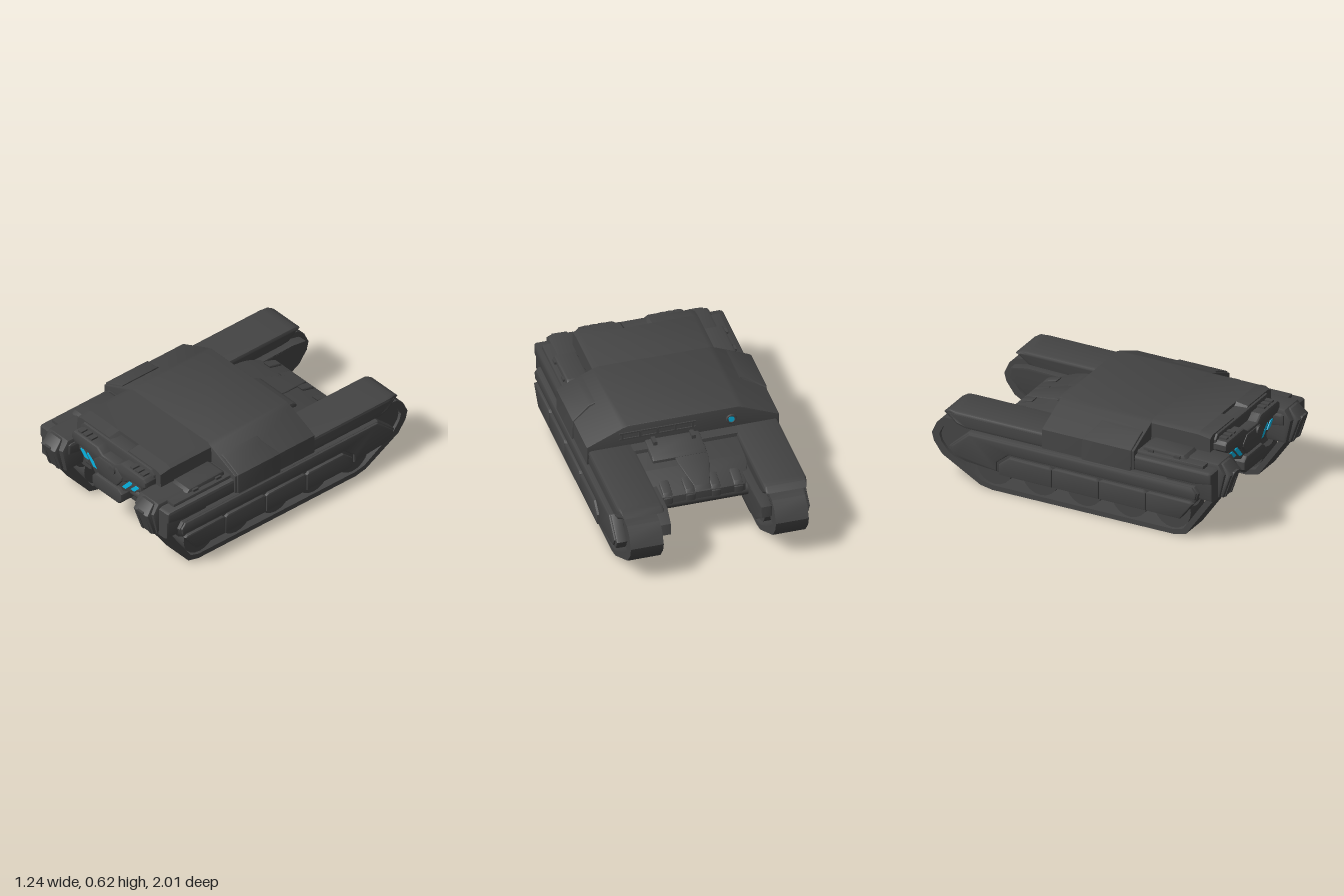
import * as THREE from 'three';
import { toCreasedNormals } from 'three/addons/utils/BufferGeometryUtils.js';

export function createModel() {
  const model = new THREE.Group();
  model.name = 'trackedVehicle';
  const armour = new THREE.MeshStandardMaterial({ color: 0x444444 });
  armour.name = 'dark grey armour';
  const glow = new THREE.MeshStandardMaterial({ color: 0x06b4e2 });
  glow.name = 'cyan light';

  const add = (name, geo, mat = armour) => {
    const mesh = new THREE.Mesh(geo, mat);
    mesh.name = name;
    model.add(mesh);
    return mesh;
  };
  const toShape = (pts) => new THREE.Shape(pts.map((p) => new THREE.Vector2(p[0], p[1])));
  const extrude = (pts, width, bevel, hole) => {
    const shape = toShape(pts);
    if (hole) shape.holes.push(toShape(hole));
    const geo = new THREE.ExtrudeGeometry(shape, {
      depth: width - 2 * bevel, bevelEnabled: bevel > 0, bevelSize: bevel,
      bevelThickness: bevel, bevelOffset: -bevel, bevelSegments: 2,
    });
    return geo.translate(0, 0, bevel);
  };
  // Moves vertices by a rule, then smooths only the soft edges
  const finish = (geo, warp) => {
    if (warp) {
      const p = geo.attributes.position, v = new THREE.Vector3();
      for (let i = 0; i < p.count; i++) {
        v.fromBufferAttribute(p, i);
        warp(v);
        p.setXYZ(i, v.x, v.y, v.z);
      }
      geo.computeVertexNormals();
    }
    return toCreasedNormals(geo, 0.6);
  };
  // Side profile [z, y] spanning x0..x1
  const slab = (name, pts, x0, x1, bevel = 0.015, warp, hole) =>
    add(name, finish(extrude(pts, x1 - x0, bevel, hole).rotateY(-Math.PI / 2).translate(x1, 0, 0), warp));
  // Front profile [x, y] spanning z0..z1
  const front = (name, pts, z0, z1, bevel = 0.012, mat = armour, warp) =>
    add(name, finish(extrude(pts, z1 - z0, bevel).translate(0, 0, z0), warp), mat);
  // Completes a symmetrical front profile from its +x half
  const both = (half) => [...half, ...half.map(([x, y]) => [-x, y]).reverse()];
  const box = (name, w, h, d, x, y, z) => {
    const m = add(name, new THREE.BoxGeometry(w, h, d));
    m.position.set(x, y, z);
    return m;
  };
  const drum = (name, r, w, x, y, z, sides = 20) => {
    const m = add(name, new THREE.CylinderGeometry(r, r, w, sides).rotateZ(Math.PI / 2));
    m.position.set(x, y, z);
    return m;
  };

  // Upper deck
  front('deck', both([[0.345, 0.62], [0.38, 0.608], [0.6, 0.51], [0.6, 0.385], [0.33, 0.385]]), -0.23, 0.4, 0.006);
  front('frontDeck', both([[0.345, 0.62], [0.38, 0.605], [0.385, 0.46], [0.33, 0.44]]), 0.39, 0.72, 0);
  front('notchedDeckEdge', both([[0.05, 0.58], [0.09, 0.62], [0.345, 0.62], [0.38, 0.605], [0.385, 0.46], [0.33, 0.44]]),
    0.72, 0.8, 0, armour, (v) => { if (v.z > 0.79 && v.y > 0.6) v.y -= 0.012; });

  // Hull between the tracks
  front('hull', both([[0.36, 0.48], [0.36, 0.33], [0.25, 0.26]]), -0.3, 0.76, 0.01);
  slab('rearDeck', [[-0.2, 0.47], [-0.45, 0.43], [-0.66, 0.37], [-0.66, 0.31], [-0.58, 0.26], [-0.2, 0.26]],
    -0.34, 0.34, 0.01, (v) => { if (v.z < -0.55) v.x *= 0.78; });
  box('bellyPlate', 0.16, 0.01, 0.3, 0, 0.259, 0.25);

  // Rear deck ridge, hatch and grille
  slab('rearRidge', [[-0.22, 0.48], [-0.44, 0.448], [-0.63, 0.398], [-0.66, 0.36], [-0.22, 0.4]], -0.1, 0.1, 0.008,
    (v) => { if (v.z < -0.5) v.x *= 0.5; });
  slab('hatch', [[-0.22, 0.495], [-0.37, 0.475], [-0.4, 0.455], [-0.4, 0.42], [-0.22, 0.42]], -0.1, 0.24, 0.012);
  for (const x of [-0.05, 0.19]) box('hatchHinge', 0.025, 0.04, 0.06, x, 0.49, -0.26);
  for (const y of [0.57, 0.53]) box('grilleRail', 0.48, 0.01, 0.01, 0.16, y, -0.232);
  for (let i = 0; i < 5; i++) box('grilleBar', 0.014, 0.04, 0.012, -0.06 + i * 0.11, 0.55, -0.232);
  const ring = add('rearLampRing', new THREE.TorusGeometry(0.026, 0.008, 8, 20));
  ring.position.set(-0.3, 0.54, -0.232);
  const lamp = add('rearLamp', new THREE.CylinderGeometry(0.019, 0.019, 0.009, 20).rotateX(Math.PI / 2), glow);
  lamp.position.set(-0.3, 0.54, -0.234);
  for (const x of [-0.22, -0.08, 0.08, 0.22]) {
    slab('rearTooth', [[-0.55, 0.415], [-0.64, 0.39], [-0.665, 0.36], [-0.665, 0.32], [-0.6, 0.32]], x - 0.03, x + 0.03, 0.008);
  }
  drum('rearAxle', 0.042, 0.56, 0, 0.31, -0.62);

  // Front face
  front('facePlate', both([[0.31, 0.6], [0.335, 0.57], [0.335, 0.48], [0.24, 0.36]]), 0.7, 0.815, 0.01);
  front('brow', both([[0.06, 0.53], [0.11, 0.565], [0.32, 0.565], [0.338, 0.545], [0.338, 0.51], [0.31, 0.485],
    [0.2, 0.485], [0.14, 0.44]]), 0.78, 0.885, 0.014);
  front('snout', both([[0.11, 0.52], [0.19, 0.485], [0.28, 0.478], [0.285, 0.45], [0.22, 0.405], [0.15, 0.375], [0.1, 0.355]]),
    0.78, 0.87, 0.006);
  front('centrePanel', both([[0.08, 0.515], [0.13, 0.47], [0.13, 0.45], [0.08, 0.385]]), 0.84, 0.892, 0.01);
  front('chin', both([[0.1, 0.378], [0.135, 0.35], [0.135, 0.3], [0.11, 0.272]]), 0.76, 0.9, 0.015);
  front('lowerFront', both([[0.25, 0.365], [0.26, 0.31], [0.22, 0.262]]), 0.7, 0.8, 0.01);
  drum('frontAxle', 0.03, 0.54, 0, 0.345, 0.8);
  const sensor = add('sensor', new THREE.CylinderGeometry(0.027, 0.027, 0.03, 20).rotateX(Math.PI / 2));
  sensor.position.set(0.05, 0.49, 0.89);

  for (const s of [1, -1]) {
    const side = (name, pts, a, b, bevel, warp, hole) =>
      slab(name, pts, s > 0 ? a : -b, s > 0 ? b : -a, bevel, warp, hole);
    const face = (name, pts, ...rest) => front(name, pts.map(([x, y]) => [s * x, y]), ...rest);

    // Slanted eye lights and brow studs
    face('innerEye', [[0.115, 0.395], [0.148, 0.395], [0.204, 0.457], [0.204, 0.466], [0.177, 0.466]], 0.868, 0.876, 0, glow);
    face('outerEye', [[0.192, 0.42], [0.226, 0.42], [0.265, 0.459], [0.265, 0.466], [0.236, 0.466]], 0.868, 0.876, 0, glow);
    for (let i = 0; i < 3; i++) box('browStud', 0.03, 0.018, 0.06, s * (0.19 + i * 0.047), 0.567, 0.835);

    // Track belt, a closed loop with a hollow centre
    side('trackBelt', [[0.92, 0.29], [0.73, 0.02], [0.65, 0], [-0.59, 0], [-0.67, 0.015], [-0.93, 0.16], [-0.985, 0.235],
      [-1, 0.29], [-0.965, 0.365], [-0.915, 0.405], [-0.82, 0.412], [0.85, 0.4]], 0.35, 0.555, 0, null,
      [[0.82, 0.37], [-0.82, 0.38], [-0.89, 0.37], [-0.925, 0.34], [-0.95, 0.29], [-0.935, 0.245], [-0.89, 0.188],
        [-0.66, 0.046], [-0.59, 0.032], [0.65, 0.032], [0.71, 0.05], [0.875, 0.29]]);

    // Road wheels and end wheels
    for (const z of [0.63, 0.34, 0.03, -0.27, -0.58]) {
      drum('roadWheel', 0.125, 0.17, s * 0.455, 0.16, z);
      drum('wheelHub', 0.05, 0.2, s * 0.455, 0.16, z, 12);
    }
    drum('driveWheel', 0.105, 0.16, s * 0.455, 0.285, -0.84);
    drum('idlerWheel', 0.08, 0.16, s * 0.455, 0.28, 0.74);
    side('suspensionCore', [[0.78, 0.37], [-0.78, 0.37], [-0.8, 0.25], [-0.7, 0.16], [0.7, 0.16], [0.78, 0.26]], 0.37, 0.54, 0);

    // Outer skirts
    side('upperSkirt', [[0.84, 0.33], [0.81, 0.37], [-0.73, 0.37], [-0.86, 0.25], [-0.83, 0.19], [-0.75, 0.17], [-0.5, 0.15],
      [0.7, 0.15], [0.82, 0.27]], 0.53, 0.602, 0.012);
    side('skirtRail', [[0.83, 0.33], [0.8, 0.365], [-0.72, 0.365], [-0.84, 0.255], [-0.81, 0.2], [-0.75, 0.185], [-0.53, 0.16],
      [-0.53, 0.22], [-0.45, 0.285], [0.82, 0.285]], 0.56, 0.613, 0.012);
    const seams = [0.81, 0.49, 0.17, -0.15, -0.51];
    for (let i = 0; i < 4; i++) {
      const a = seams[i], b = seams[i + 1];
      side('lowerSkirtPanel', [[a, 0.262], [a - 0.02, 0.275], [b + (i === 3 ? 0.07 : 0.02), 0.275], [b, i === 3 ? 0.215 : 0.262],
        [b, 0.145], [i ? a : 0.72, 0.145]], 0.55, 0.622, 0.01);
    }

    // Inner side pod, narrowing toward its foot
    side('innerPod', [[0.8, 0.37], [-0.8, 0.4], [-0.92, 0.37], [-0.93, 0.3], [-0.8, 0.2], [-0.62, 0.125], [0.62, 0.125],
      [0.8, 0.27]], 0.25, 0.352, 0.015, (v) => {
      const limit = 0.25 + Math.max(0, 0.24 - v.y) * 0.42 + Math.max(0, -v.z - 0.65) * 0.12;
      v.x = Math.sign(v.x) * Math.max(Math.abs(v.x), limit);
    });

    // Fender with tapered tail
    side('fender', [[0.92, 0.47], [0.9, 0.48], [-0.82, 0.482], [-0.87, 0.48], [-0.91, 0.455], [-0.88, 0.44], [-0.82, 0.395],
      [-0.76, 0.38], [0.8, 0.38], [0.92, 0.4]], 0.315, 0.59, 0.018, (v) => {
      const limit = 0.6 + Math.min(0, v.z + 0.8) * 0.3;
      v.x = Math.sign(v.x) * Math.min(Math.abs(v.x), limit);
    });
    side('fenderSpine', [[0.85, 0.5], [0.4, 0.5], [0.38, 0.46], [0.85, 0.46]], 0.36, 0.56, 0.012);

    // Front nose guards
    side('noseGuard', [[0.92, 0.505], [0.6, 0.505], [0.6, 0.38], [0.8, 0.28], [0.93, 0.28], [0.965, 0.44]], 0.325, 0.505, 0.02);
    side('noseArch', [[0.94, 0.5], [0.85, 0.5], [0.85, 0.28], [0.945, 0.28], [1, 0.44]], 0.355, 0.49, 0.015,
      (v) => { if (v.y > 0.47) v.x = s * (0.42 + (Math.abs(v.x) - 0.42) * 0.8); });
    face('noseArchRim', [[0.38, 0.28], [0.38, 0.42], [0.4, 0.45], [0.45, 0.45], [0.47, 0.42], [0.47, 0.28], [0.45, 0.28],
      [0.45, 0.4], [0.4, 0.4], [0.4, 0.28]], 0.93, 0.95, 0, armour, (v) => { v.z += (v.y - 0.28) * 0.33; });
    side('noseCheek', [[0.92, 0.44], [0.88, 0.475], [0.6, 0.475], [0.6, 0.36], [0.84, 0.28], [0.92, 0.28]], 0.48, 0.578, 0.018);

    // Shoulder pod over the deck slope and the low stowage box ahead of it
    face('shoulderPod', [[0.45, 0.585], [0.49, 0.573], [0.607, 0.515], [0.61, 0.38], [0.45, 0.38]], 0.045, 0.385, 0.01, armour,
      (v) => { if (v.z < 0.06 && v.y > 0.54) v.z += 0.05; });
    side('stowageBox', [[0.72, 0.5], [0.7, 0.522], [0.44, 0.528], [0.42, 0.515], [0.42, 0.46], [0.72, 0.46]], 0.385, 0.53, 0.014);
    for (const z of [0.48, 0.66]) box('boxLatch', 0.02, 0.02, 0.04, s * 0.533, 0.505, z);
  }
  return model;
}
